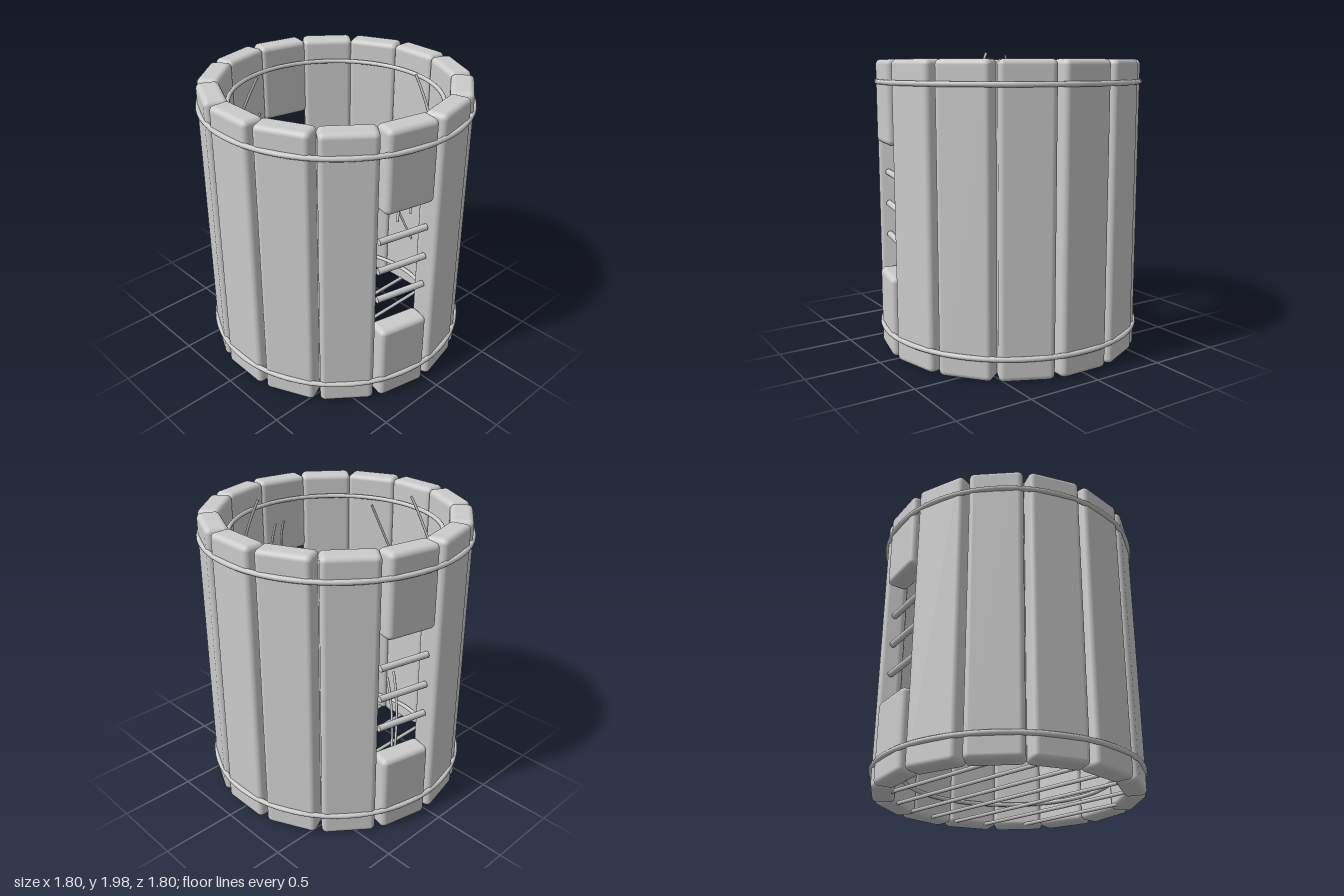
import * as THREE from 'three';
import { RoundedBoxGeometry } from 'three/addons/geometries/RoundedBoxGeometry.js';

const COUNT = 14, RADIUS = 0.8;
const BOTTOM = 0.01, TOP = 1.955, WINDOW_LOW = 0.55, WINDOW_HIGH = 1.41;

export function createModel() {
  const model = new THREE.Group();
  const material = new THREE.MeshStandardMaterial({ color: 0xcccccc });

  function add(name, geometry, parent = model) {
    const mesh = new THREE.Mesh(geometry, material);
    mesh.name = name;
    parent.add(mesh);
    return mesh;
  }

  // Plank section between two heights, in the local frame of its stave
  function addPlank(name, low, high, parent) {
    const plank = add(name, new RoundedBoxGeometry(0.35, high - low, 0.15, 4, 0.035), parent);
    plank.position.set(0, (low + high) / 2, RADIUS);
  }

  // Staves around the barrel; two opposite ones are split by a barred window
  for (let i = 0; i < COUNT; i++) {
    const stave = new THREE.Group();
    stave.name = 'stave';
    stave.rotation.y = (i / COUNT) * Math.PI * 2;
    model.add(stave);
    if (i % 7 !== 3) {
      addPlank('plank', BOTTOM, TOP, stave);
      continue;
    }
    stave.name = 'windowStave';
    addPlank('lowerPlank', BOTTOM, WINDOW_LOW, stave);
    addPlank('upperPlank', WINDOW_HIGH, TOP, stave);
    for (const y of [0.77, 0.985, 1.2]) {
      const bar = add('windowBar', new THREE.CylinderGeometry(0.022, 0.022, 0.35, 12), stave);
      bar.rotation.z = Math.PI / 2;
      bar.position.set(0, y, RADIUS);
    }
  }

  // Hoops outside and inside, near the top and the bottom
  for (const y of [0.16, 1.81]) {
    for (const [name, radius, tube] of [['outerHoop', 0.883, 0.017], ['innerHoop', 0.697, 0.015]]) {
      const hoop = add(name, new THREE.TorusGeometry(radius, tube, 10, 72), model);
      hoop.rotation.x = Math.PI / 2;
      hoop.position.y = y;
    }
  }

  // Floor grate
  for (let i = -3; i <= 3; i++) {
    const x = i * 0.205;
    const length = 2 * Math.sqrt(0.75 ** 2 - x ** 2);
    const bar = add('floorBar', new THREE.CylinderGeometry(0.013, 0.013, length, 10));
    bar.rotation.x = Math.PI / 2;
    bar.position.set(x, 0.025, 0);
  }

  // Curved straws on the inner wall: base x, z, tip x, z, tip height
  const straws = [
    [0.12, -0.69, -0.02, -0.5, 1.0],
    [0.48, -0.49, 0.27, -0.42, 1.35],
    [0.62, -0.32, 0.38, -0.33, 1.99],
    [0.68, 0, 0.48, -0.11, 1.75],
    [0.69, 0.13, 0.49, -0.03, 1.75],
    [-0.54, -0.45, -0.45, -0.22, 1.0],
    [-0.48, -0.5, -0.42, -0.29, 1.2],
    [-0.68, -0.15, -0.5, -0.01, 0.9],
    [-0.67, -0.11, -0.5, 0.05, 0.92],
    [-0.62, 0.31, -0.39, 0.32, 1.68],
    [-0.61, 0.35, -0.36, 0.35, 1.3],
    [-0.48, 0.5, -0.26, 0.43, 1.99],
    [0.02, 0.68, 0.12, 0.48, 1.5],
    [0.04, 0.68, 0.14, 0.48, 1.83],
  ];
  for (const [x0, z0, x1, z1, tip] of straws) {
    const dx = x1 - x0, dz = z1 - z0;
    const curve = new THREE.QuadraticBezierCurve3(
      new THREE.Vector3(x0, tip - 0.52, z0),
      new THREE.Vector3((x0 + x1) / 2 - 0.17 * dz, tip - 0.24, (z0 + z1) / 2 + 0.17 * dx),
      new THREE.Vector3(x1, tip, z1),
    );
    add('straw', new THREE.TubeGeometry(curve, 12, 0.009, 6));
  }

  return model;
}
